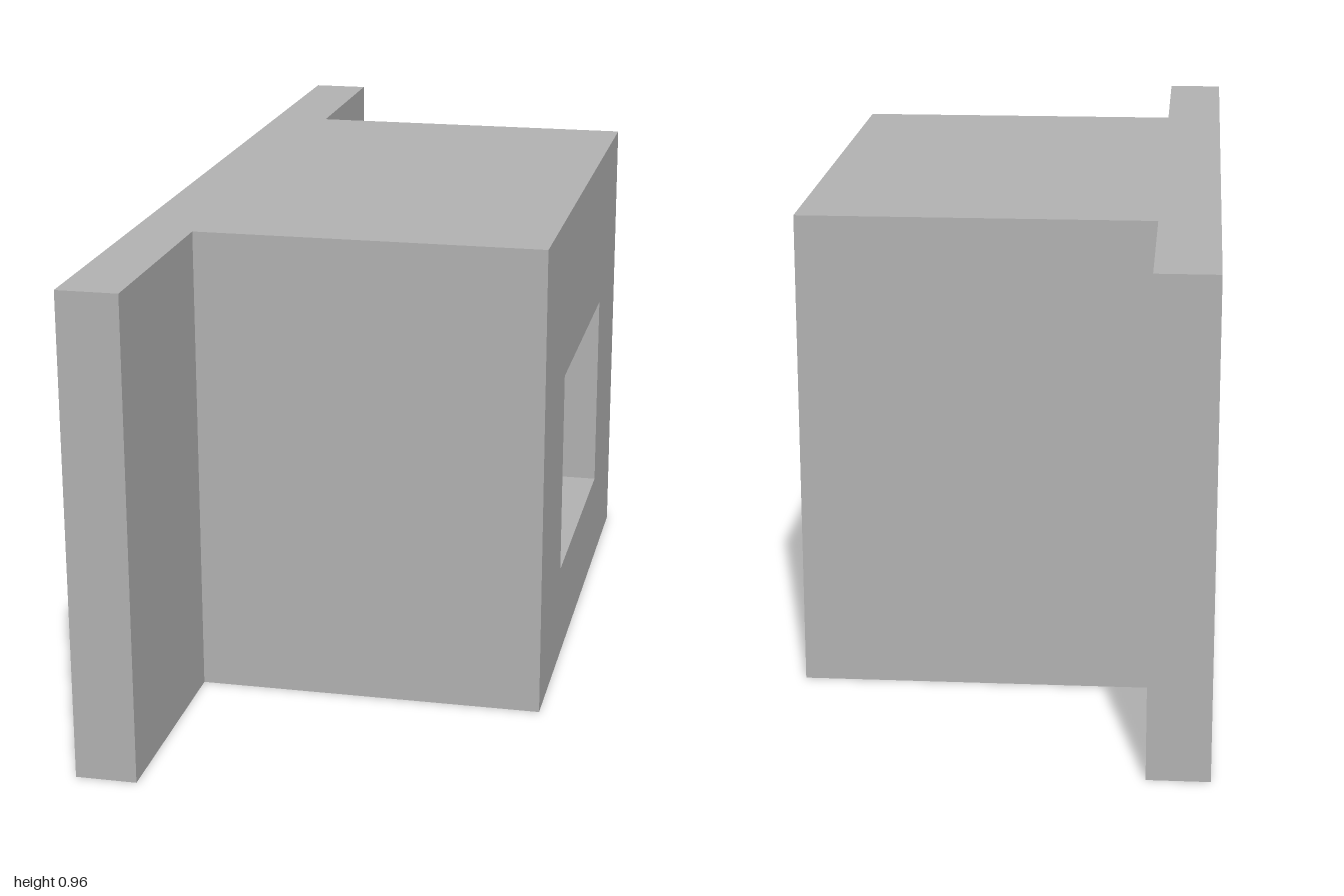
import * as THREE from 'three';

const HEIGHT = 0.96;
const BACK = -0.41, FLANGE_FRONT = -0.29, FACE = 0.41;
const POCKET_DEPTH = 0.12;
const BLOCK = [-0.54, 0.58]; // block extent along -z

// Closed outline from a list of corners
const outline = (points, Type = THREE.Shape) =>
  new Type(points.map(([x, y]) => new THREE.Vector2(x, y)));

const rectangle = (x0, y0, x1, y1, Type) =>
  outline([[x0, y0], [x1, y0], [x1, y1], [x0, y1]], Type);

const extrude = (shape, depth) =>
  new THREE.ExtrudeGeometry(shape, { depth, bevelEnabled: false });

export function createModel() {
  const grey = new THREE.MeshStandardMaterial({ color: 0xb3b3b3 });
  grey.name = 'grey';

  const model = new THREE.Group();
  model.name = 'flangedBlock';

  const add = (name, geometry) => {
    const mesh = new THREE.Mesh(geometry, grey);
    mesh.name = name;
    model.add(mesh);
  };

  // Back flange and solid block: T-shaped plan raised to full height
  const [b0, b1] = BLOCK;
  const pocketFloor = FACE - POCKET_DEPTH;
  const plan = outline([
    [BACK, -1], [FLANGE_FRONT, -1], [FLANGE_FRONT, b0], [pocketFloor, b0],
    [pocketFloor, b1], [FLANGE_FRONT, b1], [FLANGE_FRONT, 1], [BACK, 1],
  ]);
  add('flangeAndBlock', extrude(plan, HEIGHT).rotateX(-Math.PI / 2));

  // Outer slice of the block, pierced by the rectangular pocket
  const frame = rectangle(b0, 0, b1, HEIGHT);
  frame.holes.push(rectangle(-0.265, 0.2, 0.3, 0.625, THREE.Path));
  add('pocketFrame', extrude(frame, POCKET_DEPTH).rotateY(Math.PI / 2).translate(pocketFloor, 0, 0));

  return model;
}
